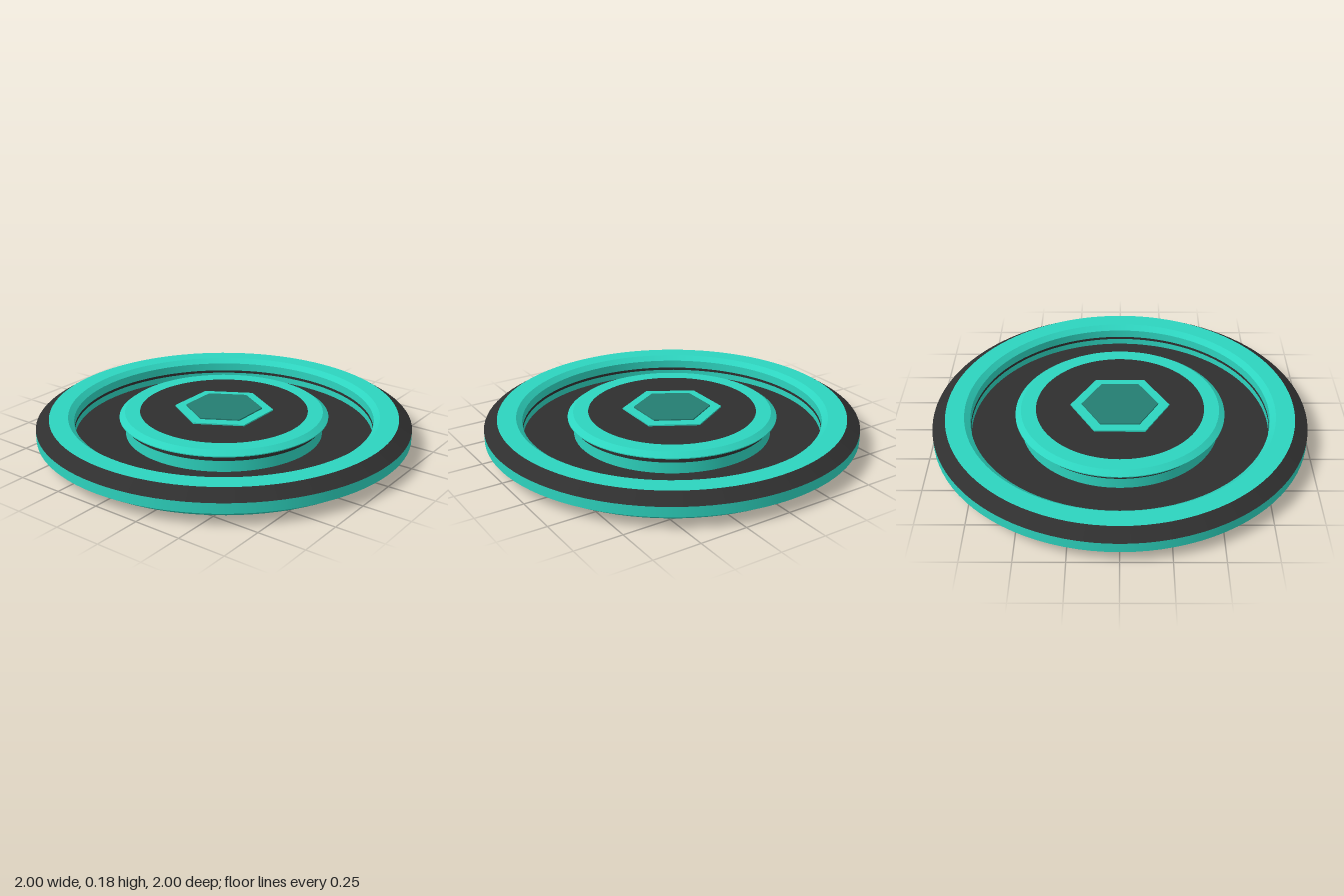
import * as THREE from 'three';

export function createModel() {
  const model = new THREE.Group();
  const material = (name, color) => {
    const m = new THREE.MeshStandardMaterial({ color });
    m.name = name;
    return m;
  };
  const teal = material('teal', 0x2dd4bf);
  const dark = material('charcoal', 0x2f2f2f);
  const deep = material('deep teal', 0x247e72);

  // One turned band between consecutive [radius, height] points, with crisp edges
  function band(group, name, mat, ...points) {
    for (let i = 0; i < points.length - 1; i++) {
      const pair = [points[i], points[i + 1]].map(([r, y]) => new THREE.Vector2(r, y));
      const mesh = new THREE.Mesh(new THREE.LatheGeometry(pair, 96), mat);
      mesh.name = name;
      group.add(mesh);
    }
  }
  function part(name) {
    const g = new THREE.Group();
    g.name = name;
    model.add(g);
    return g;
  }

  // Outer rim: edge, chamfers, faces and inner wall with a dark stripe
  const rim = part('rim');
  band(rim, 'rimLowerFace', teal, [0.82, 0.022], [0.887, 0.022]);
  band(rim, 'rimLowerStripe', dark, [0.887, 0.022], [0.93, 0.022]);
  band(rim, 'rimEdge', teal, [0.93, 0.022], [1, 0.067], [1, 0.12]);
  band(rim, 'rimUpperChamfer', dark, [1, 0.12], [0.93, 0.165]);
  band(rim, 'rimUpperFace', teal, [0.93, 0.165], [0.83, 0.165], [0.8, 0.14], [0.8, 0.095]);
  band(rim, 'rimWallStripe', dark, [0.8, 0.095], [0.8, 0.08]);
  band(rim, 'rimLowerWall', teal, [0.8, 0.08], [0.8, 0.046]);
  band(rim, 'rimLowerBevel', teal, [0.8, 0.042], [0.82, 0.022]);

  // Thin web joining rim and hub
  const web = part('web');
  band(web, 'webTop', dark, [0.8, 0.046], [0.53, 0.046]);
  band(web, 'webBottom', dark, [0.56, 0.042], [0.8, 0.042]);

  // Hub: undercut wall, flange, coloured ring and dark centre on both sides
  const hub = part('hub');
  band(hub, 'hubWall', teal, [0.53, 0.046], [0.53, 0.105]);
  band(hub, 'hubWallStripe', dark, [0.53, 0.105], [0.53, 0.138], [0.56, 0.138]);
  band(hub, 'hubUpperRing', teal, [0.56, 0.138], [0.56, 0.143], [0.53, 0.165], [0.45, 0.165]);
  band(hub, 'hubUpperCentre', dark, [0.45, 0.165], [0.28, 0.167], [0, 0.167]);
  band(hub, 'hubLowerCentre', dark, [0, 0.018], [0.28, 0.018], [0.43, 0.022]);
  band(hub, 'hubLowerRing', teal, [0.43, 0.022], [0.535, 0.026]);
  band(hub, 'hubLowerBevel', dark, [0.535, 0.026], [0.56, 0.042]);

  // Hexagonal plates, corners pointing along z
  function hexPlate(name, mat, radius, y0, y1) {
    const mesh = new THREE.Mesh(new THREE.CylinderGeometry(radius, radius, y1 - y0, 6).toNonIndexed(), mat);
    mesh.geometry.computeVertexNormals();
    mesh.position.y = (y0 + y1) / 2;
    mesh.name = name;
    model.add(mesh);
  }
  hexPlate('upperHexPlate', teal, 0.265, 0.166, 0.174);
  hexPlate('upperHexInlay', deep, 0.205, 0.173, 0.181);
  hexPlate('lowerHexPlate', teal, 0.265, 0.008, 0.019);
  hexPlate('lowerHexInlay', deep, 0.205, 0, 0.009);

  return model;
}
